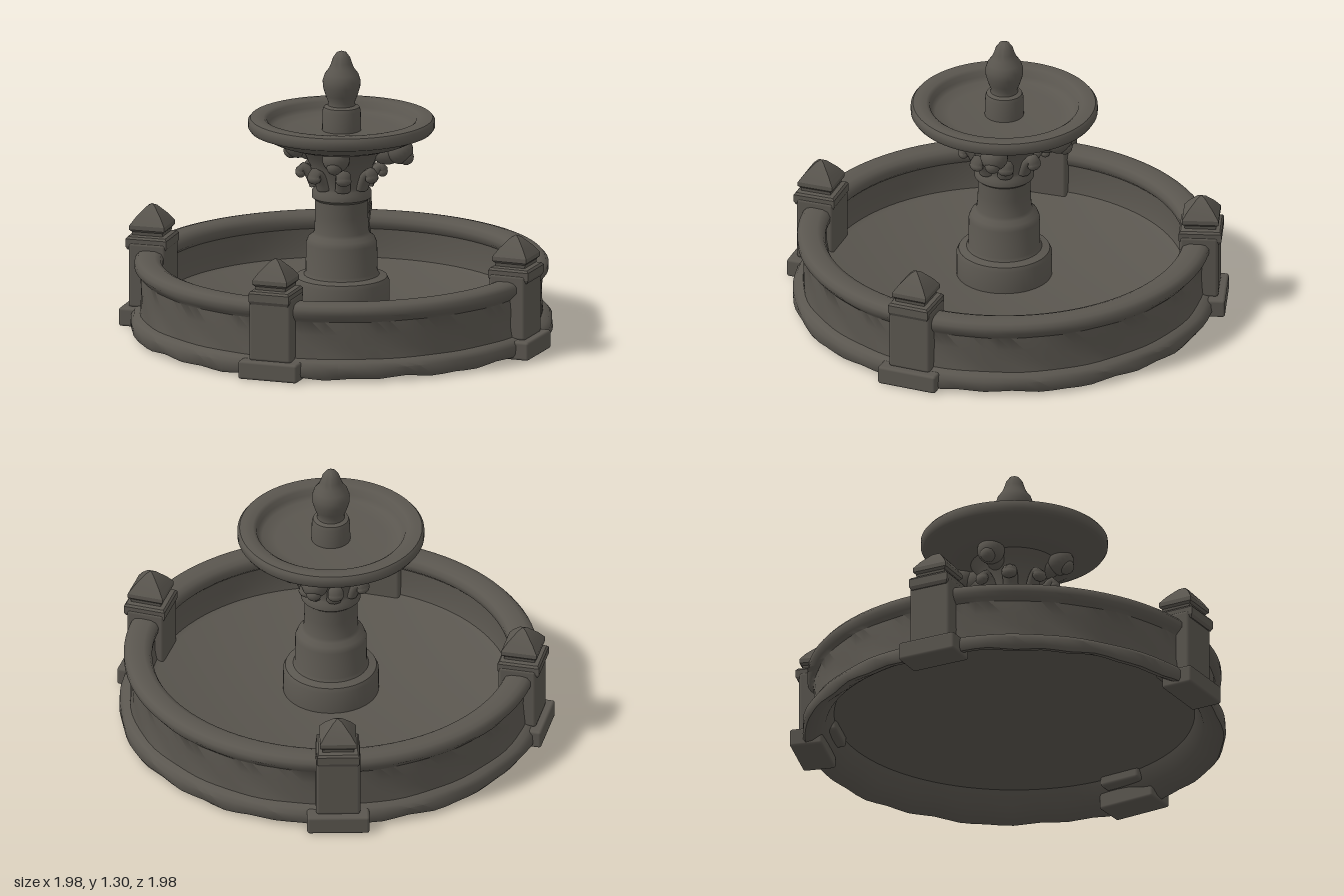
import * as THREE from 'three';
import { toCreasedNormals } from 'three/addons/utils/BufferGeometryUtils.js';
import { RoundedBoxGeometry } from 'three/addons/geometries/RoundedBoxGeometry.js';

const stone = new THREE.MeshStandardMaterial({ color: 0x5a564f });
stone.name = 'weathered stone';

function add(parent, name, geometry, x = 0, y = 0, z = 0) {
  const mesh = new THREE.Mesh(geometry, stone);
  mesh.name = name;
  mesh.position.set(x, y, z);
  parent.add(mesh);
  return mesh;
}

// Turned part from [radius, height] pairs, listed from the bottom up the outside
function turned(profile, segments = 64, rule = null) {
  const geo = new THREE.LatheGeometry(profile.map(([r, y]) => new THREE.Vector2(r, y)), segments);
  if (rule) {
    const p = geo.attributes.position;
    const v = new THREE.Vector3();
    for (let i = 0; i < p.count; i++) {
      v.fromBufferAttribute(p, i);
      rule(v);
      p.setXYZ(i, v.x, v.y, v.z);
    }
  }
  return toCreasedNormals(geo, 0.75);
}

// Square part: a four-sided turned profile of half-widths
function square(profile) {
  const geo = new THREE.LatheGeometry(profile.map(([w, y]) => new THREE.Vector2(w * Math.SQRT2, y)), 4);
  geo.rotateY(Math.PI / 4);
  return toCreasedNormals(geo, 0.4);
}

// Slight unevenness of the worn outer wall and footing
function worn(v) {
  const r = Math.hypot(v.x, v.z);
  if (r < 0.86 || v.y > 0.3) return;
  const a = Math.atan2(v.x, v.z);
  const k = 1 + 0.005 * Math.sin(a * 13 + v.y * 30) * Math.sin(a * 5 + v.y * 17);
  v.x *= k;
  v.z *= k;
  if (v.y < 0.03) v.y += 0.008 * (1 + Math.sin(a * 17) * Math.sin(a * 7));
}

function createPost(x, z, turn) {
  const post = new THREE.Group();
  post.name = 'rimPost';
  add(post, 'postFoot', new RoundedBoxGeometry(0.28, 0.085, 0.15, 2, 0.012), 0, 0.048, 0.04);
  add(post, 'postShaft', new RoundedBoxGeometry(0.2, 0.3, 0.175, 2, 0.015), 0, 0.235, -0.005);
  add(post, 'postCap', square([
    [0, 0.35], [0.088, 0.35], [0.096, 0.365], [0.096, 0.4], [0.088, 0.41], [0.07, 0.415],
    [0.072, 0.43], [0.082, 0.44], [0.082, 0.46], [0.058, 0.495], [0.018, 0.54], [0, 0.55],
  ]));
  post.position.set(x, 0, z);
  post.rotation.y = turn;
  return post;
}

export function createModel() {
  const model = new THREE.Group();
  model.name = 'fountain';

  // Lower basin: hollow underside, footing, wall, rolled rim and floor
  add(model, 'basin', turned([
    [0, 0.13], [0.81, 0.13], [0.85, 0.06], [0.91, 0.015], [0.94, 0.01], [0.95, 0.025], [0.95, 0.07],
    [0.935, 0.09], [0.905, 0.1], [0.9, 0.15], [0.9, 0.21], [0.9, 0.27], [0.915, 0.285], [0.93, 0.305],
    [0.93, 0.33], [0.915, 0.347], [0.89, 0.353], [0.84, 0.352], [0.815, 0.342], [0.803, 0.32],
    [0.805, 0.295], [0.82, 0.28], [0.82, 0.2], [0.81, 0.15], [0.79, 0.14], [0, 0.14],
  ], 96, worn));

  // Four posts on the rim
  const posts = new THREE.Group();
  posts.name = 'rimPosts';
  posts.add(
    createPost(0, 0.877, 0),
    createPost(0.868, 0.1, Math.PI / 2 - 0.04),
    createPost(-0.868, 0.1, -Math.PI / 2 + 0.04),
    createPost(-0.268, -0.845, Math.PI + 0.29),
  );
  model.add(posts);

  // Stepped column with a flaring capital
  add(model, 'column', turned([
    [0.215, 0.135], [0.215, 0.245], [0.205, 0.265], [0.17, 0.275], [0.162, 0.29], [0.16, 0.42],
    [0.15, 0.445], [0.13, 0.46], [0.123, 0.475], [0.119, 0.55], [0.119, 0.62], [0.134, 0.632],
    [0.134, 0.66], [0.124, 0.675], [0.122, 0.69], [0.13, 0.73], [0.142, 0.78], [0.165, 0.83],
    [0.21, 0.88], [0.23, 0.91],
  ], 48));

  // Curled leaves around the capital
  const leaves = new THREE.Group();
  leaves.name = 'capitalLeaves';
  const curl = new THREE.CatmullRomCurve3([
    [0.122, 0.685], [0.135, 0.72], [0.155, 0.755], [0.178, 0.77], [0.185, 0.748],
  ].map(([r, y]) => new THREE.Vector3(0, y, r)));
  for (let i = 0; i < 8; i++) {
    const leaf = new THREE.Group();
    leaf.name = 'leaf';
    add(leaf, 'leafBlade', new THREE.TubeGeometry(curl, 10, 0.023, 8)).scale.x = 1.5;
    add(leaf, 'leafTip', new THREE.SphereGeometry(0.024, 12, 8), 0, 0.745, 0.184).scale.x = 1.5;
    leaf.rotation.y = (i + 0.5) * Math.PI / 4;
    leaves.add(leaf);
  }
  model.add(leaves);

  // Rounded spouts under the upper bowl
  const spouts = new THREE.Group();
  spouts.name = 'bowlSpouts';
  for (let i = 0; i < 4; i++) {
    const spout = new THREE.Group();
    spout.name = 'spout';
    add(spout, 'spoutHead', new THREE.SphereGeometry(0.062, 20, 14), 0, 0.855, 0.235);
    add(spout, 'spoutChin', new THREE.SphereGeometry(0.036, 16, 10), 0, 0.825, 0.265);
    add(spout, 'spoutNeck', new THREE.SphereGeometry(0.06, 16, 12), 0, 0.84, 0.175).scale.set(0.8, 0.9, 1.2);
    spout.rotation.y = i * Math.PI / 2 + 0.1;
    spouts.add(spout);
  }
  spouts.position.set(0.025, 0, -0.025);
  model.add(spouts);

  // Upper bowl with a broad rounded rim
  add(model, 'upperBowl', turned([
    [0, 0.86], [0.17, 0.86], [0.25, 0.875], [0.31, 0.895], [0.36, 0.92], [0.385, 0.932], [0.41, 0.94],
    [0.42, 0.955], [0.42, 0.985], [0.41, 0.997], [0.385, 1.0], [0.35, 0.998], [0.335, 0.988],
    [0.328, 0.965], [0.31, 0.948], [0.25, 0.94], [0, 0.94],
  ], 72));

  // Finial
  add(model, 'finial', turned([
    [0.088, 0.93], [0.086, 1.03], [0.08, 1.047], [0.062, 1.055], [0.06, 1.07], [0.072, 1.1],
    [0.084, 1.14], [0.085, 1.17], [0.075, 1.2], [0.056, 1.225], [0.046, 1.25], [0.038, 1.275],
    [0.022, 1.297], [0, 1.305],
  ], 32));

  return model;
}
